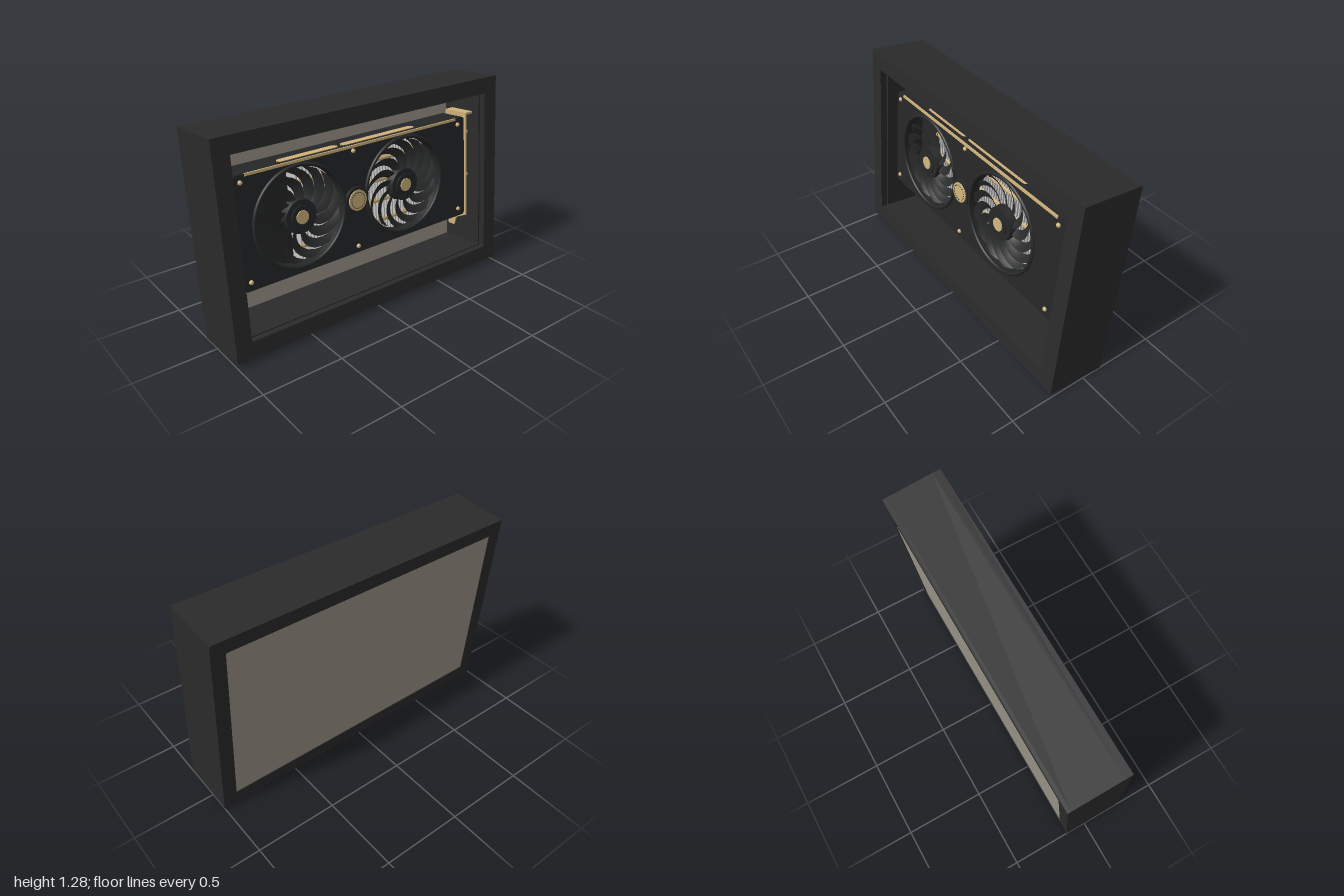
import * as THREE from 'three';

const mat = (name, color, side = THREE.FrontSide) => {
  const m = new THREE.MeshStandardMaterial({ color, side });
  m.name = name;
  return m;
};

export function createModel() {
  const frameBlack = mat('frame black', 0x2b2b2b);
  const cardBlack = mat('card black', 0x262728);
  const fanBlack = mat('fan black', 0x2a2b2c, THREE.DoubleSide);
  const gold = mat('gold', 0xcfb27a);
  const silver = mat('fin silver', 0xc6c6c6);
  const linen = mat('backing grey', 0x9c9588);

  // Built facing +z, then turned to face +x and leaned back
  const display = new THREE.Group();
  display.name = 'framedDisplay';

  const add = (name, geo, material, x = 0, y = 0, z = 0, parent = display) => {
    const m = new THREE.Mesh(geo, material);
    m.name = name;
    m.position.set(x, y, z);
    parent.add(m);
    return m;
  };
  // Box given by its limits on each axis
  const block = (name, material, x0, x1, y0, y1, z0, z1, parent) =>
    add(name, new THREE.BoxGeometry(x1 - x0, y1 - y0, z1 - z0), material,
      (x0 + x1) / 2, (y0 + y1) / 2, (z0 + z1) / 2, parent);
  const disc = (name, material, r, depth, x, y, z, parent, rTop = r) =>
    add(name, new THREE.CylinderGeometry(rTop, r, depth, 40).rotateX(Math.PI / 2), material, x, y, z, parent);
  const polygon = pts => new THREE.Shape(pts.map(p => new THREE.Vector2(...p)));
  const rect = (w, h) => polygon([[-w, -h], [w, -h], [w, h], [-w, h]]);
  const extrude = (shape, depth) =>
    new THREE.ExtrudeGeometry(shape, { depth, bevelEnabled: false, curveSegments: 48 });

  // Deep box frame: rear rebate, body, glazing groove and front lip
  const rings = [
    ['frameRearRebate', -0.186, -0.165, 0.015],
    ['frameBody', -0.165, 0.135, 0],
    ['frameGroove', 0.135, 0.145, 0.015],
    ['frameFrontLip', 0.145, 0.186, 0],
  ];
  for (const [name, z0, z1, grow] of rings) {
    const s = rect(1, 0.626);
    s.holes.push(rect(0.9 + grow, 0.526 + grow));
    add(name, extrude(s, z1 - z0), frameBlack, 0, 0, z0);
  }
  block('backingPanel', linen, -0.914, 0.914, -0.54, 0.54, -0.182, -0.166);

  // Graphics card
  const card = new THREE.Group();
  card.name = 'graphicsCard';
  display.add(card);
  const CY = 0.05, FANS = [-0.462, 0.297];

  // Shroud face with chamfered corners and two fan openings
  const [L, R, B, T, C] = [-0.857, 0.815, -0.288, 0.378, 0.014];
  const face = polygon([[L + C, B], [R - C, B], [R, B + C], [R, T - C],
    [R - C, T], [L + C, T], [L, T - C], [L, B + C]]);
  for (const x of FANS) face.holes.push(new THREE.Path().absarc(x, CY, 0.29, 0, Math.PI * 2, true));
  add('shroud', extrude(face, 0.055), cardBlack, 0, 0, 0.03, card);
  block('shroudTop', cardBlack, L + 0.01, R, 0.352, 0.372, -0.09, 0.03, card);
  block('shroudEnd', cardBlack, L + 0.01, L + 0.03, B + 0.01, 0.352, -0.09, 0.03, card);
  block('backplate', cardBlack, L + 0.01, R, -0.28, 0.372, -0.105, -0.09, card);
  block('circuitBoard', cardBlack, -0.705, 0.82, -0.302, 0.34, -0.09, -0.078, card);
  block('topTrim', gold, -0.785, 0.74, 0.364, 0.379, 0.077, 0.087, card);

  // Raised pill plates along the top
  for (const [x0, x1] of [[-0.55, -0.15], [-0.12, 0.43]]) {
    const r = 0.025;
    const pill = new THREE.Shape();
    pill.absarc(x1 - r, 0, r, -Math.PI / 2, Math.PI / 2, false);
    pill.absarc(x0 + r, 0, r, Math.PI / 2, Math.PI * 1.5, false);
    add('topPlate', extrude(pill, 0.009).rotateX(-Math.PI / 2), gold, 0, 0.372, 0.025, card);
  }

  // Heatsink fins and the pipes through them
  for (let x = -0.44; x < 0.77; x += 0.022)
    block('heatsinkFin', silver, x, x + 0.008, -0.275, 0.345, -0.075, 0.024, card);
  for (const y of [-0.16, -0.03, 0.1, 0.23])
    add('heatPipe', new THREE.CylinderGeometry(0.016, 0.016, 1.26, 12).rotateZ(Math.PI / 2), gold, 0.15, y, 0.012, card);

  // Swept, pitched fan blade
  const bladeGeometry = () => {
    const pos = [], idx = [], N = 8;
    for (let i = 0; i <= N; i++) {
      const t = i / N, r = 0.095 + t * 0.187;
      const mid = 0.75 * t * t, half = 0.19 - 0.03 * t;
      for (const s of [-1, 0, 1]) {
        const a = mid + s * half;
        pos.push(r * Math.cos(a), r * Math.sin(a), -s * 0.014 + (s ? 0 : 0.004));
      }
      if (i < N) for (let j = 0; j < 2; j++) {
        const a = i * 3 + j;
        idx.push(a, a + 3, a + 1, a + 1, a + 3, a + 4);
      }
    }
    const g = new THREE.BufferGeometry();
    g.setAttribute('position', new THREE.Float32BufferAttribute(pos, 3));
    g.setIndex(idx);
    g.computeVertexNormals();
    return g;
  };
  const blade = bladeGeometry();
  const BLADES = 13;
  for (const x of FANS) {
    const fan = new THREE.Group();
    fan.name = 'fan';
    fan.position.set(x, CY, 0.06);
    card.add(fan);
    add('fanRim', new THREE.TorusGeometry(0.3, 0.012, 10, 64), cardBlack, 0, 0, 0.027, fan);
    for (let i = 0; i < BLADES; i++)
      add('fanBlade', blade, fanBlack, 0, 0, 0, fan).rotation.z = (i / BLADES) * Math.PI * 2;
    disc('fanHub', cardBlack, 0.107, 0.05, 0, 0, 0.005, fan, 0.1);
    disc('hubStep', cardBlack, 0.068, 0.008, 0, 0, 0.033, fan);
    disc('hubCap', gold, 0.04, 0.008, 0, 0, 0.039, fan);
  }

  // Round badge between the fans
  disc('badgeBase', cardBlack, 0.08, 0.02, -0.08, CY, 0.093, card);
  disc('badgeDisc', gold, 0.063, 0.008, -0.08, CY, 0.106, card);
  for (let i = 0; i < 20; i++) {
    const a = (i / 20) * Math.PI * 2;
    block('badgeDot', cardBlack, -0.003, 0.003, -0.003, 0.003, 0.109, 0.112, card)
      .position.set(-0.08 + 0.048 * Math.cos(a), CY + 0.048 * Math.sin(a), 0.11);
  }

  // Face screws
  for (const [x, dy] of [[-0.815, 0.286], [-0.08, 0.297], [0.756, 0.286]])
    for (const s of [-1, 1])
      add('screw', new THREE.SphereGeometry(0.014, 16, 10), gold, x, CY + s * dy, 0.086, card);

  // Edge connector with its key notch
  block('edgeConnector', gold, 0.173, 0.617, -0.35, -0.3, -0.09, -0.078, card);
  block('edgeConnectorShort', gold, 0.637, 0.7, -0.35, -0.3, -0.09, -0.078, card);
  block('connectorKey', cardBlack, 0.617, 0.626, -0.35, -0.3, -0.089, -0.079, card);

  // Slot bracket: slotted plate, foot flange and screws
  const plate = polygon([[-0.09, -0.34], [-0.07, -0.4], [-0.02, -0.4], [0, -0.34],
    [0.09, -0.3], [0.09, 0.398], [-0.09, 0.398]]);
  for (let i = 0; i < 5; i++) {
    const y = -0.2 + i * 0.11;
    plate.holes.push(polygon([[-0.06, y], [0.06, y], [0.06, y + 0.06], [-0.06, y + 0.06]]));
  }
  // Shape x runs along depth
  add('bracket', extrude(plate, 0.01).rotateY(-Math.PI / 2), gold, 0.835, 0, 0, card);
  block('bracketFoot', gold, 0.825, 0.887, 0.386, 0.4, -0.09, 0.09, card);
  block('portHousing', cardBlack, 0.77, 0.824, -0.23, 0.33, -0.075, 0.025, card);
  for (const y of [0.27, -0.02])
    add('bracketScrew', new THREE.CylinderGeometry(0.013, 0.013, 0.02, 16).rotateZ(Math.PI / 2), gold, 0.843, y, 0.07, card);

  // Stand-offs holding the card to the backing
  for (const x of [-0.7, 0.7])
    for (const y of [-0.2, 0.3]) disc('standoff', cardBlack, 0.02, 0.064, x, y, -0.135, card);

  display.rotation.y = Math.PI / 2;
  const model = new THREE.Group();
  model.name = 'shadowBox';
  const lean = new THREE.Group();
  lean.name = 'leaningFrame';
  lean.rotation.z = THREE.MathUtils.degToRad(5);
  lean.position.y = 0.64;
  lean.add(display);
  model.add(lean);
  return model;
}
